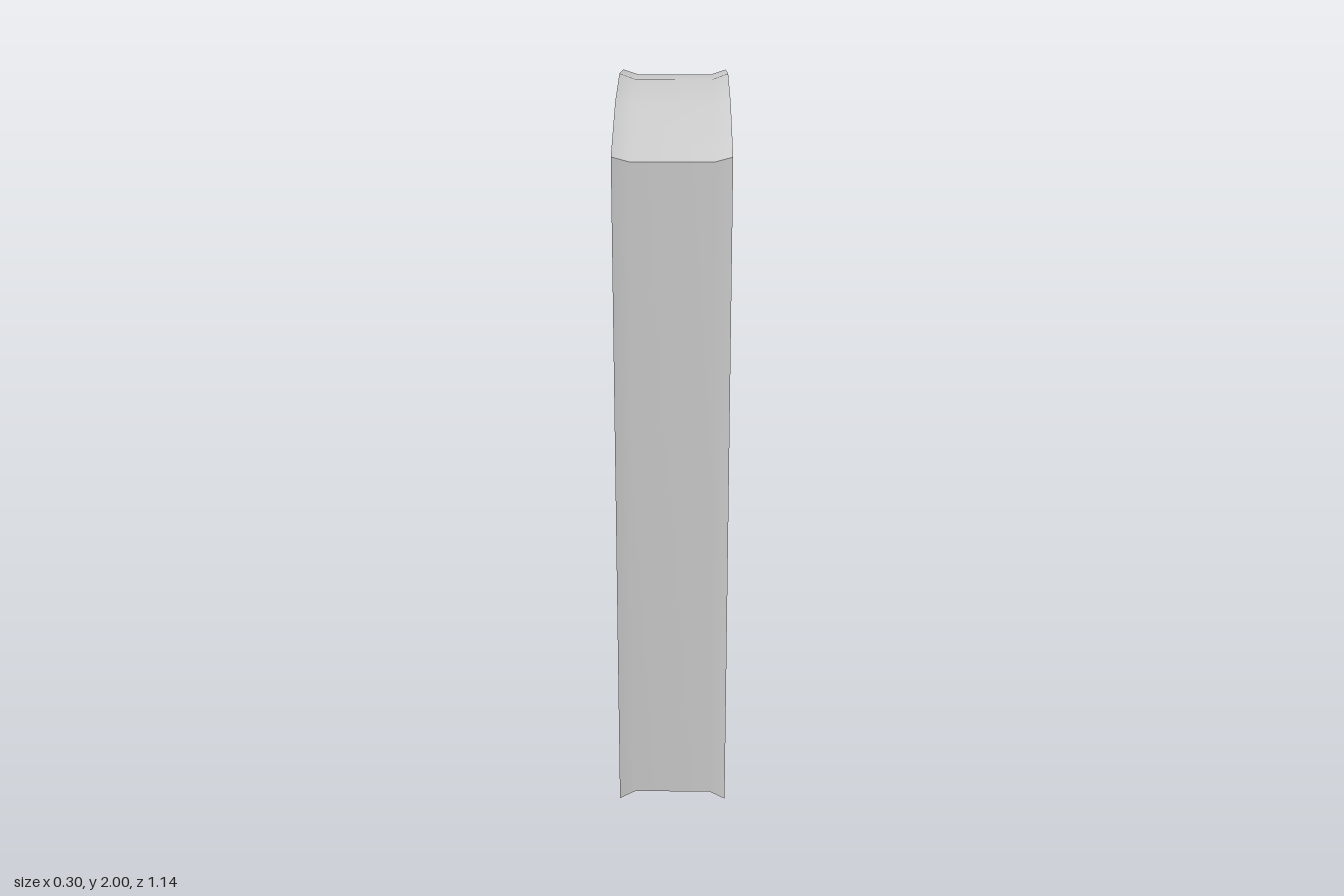
import * as THREE from 'three';

// Shallow channel section: [x, 0 = outer rim, 1 = recessed web]
const SECTION = [[-0.152, 0], [-0.108, 1], [0.108, 1], [0.152, 0]];

// Corner stations around the loop: rim [z, y] and recessed web [z, y]
const frontBottom = { rim: [0.568, 0], web: [0.559, 0.018] };
const frontTop = { rim: [0.568, 1.88], web: [0.559, 1.866] };
const frontHaunch = { rim: [0.285, 1.969], web: [0.281, 1.955] };
const crown = { rim: [0, 2], web: [0, 1.984] };
const mirror = ({ rim, web }) => ({ rim: [-rim[0], rim[1]], web: [-web[0], web[1]] });
const backHaunch = mirror(frontHaunch);
const backTop = mirror(frontTop);
const backBottom = mirror(frontBottom);

const material = new THREE.MeshStandardMaterial({ color: 0xcccccc, side: THREE.DoubleSide });

// Thin channel swept through a run of stations
function channel(name, stations) {
  const positions = [];
  const index = [];
  const n = SECTION.length;
  stations.forEach((station, r) => {
    SECTION.forEach(([x, recessed], c) => {
      const [z, y] = recessed ? station.web : station.rim;
      positions.push(x, y, z);
      if (r + 1 < stations.length && c + 1 < n) {
        const a = r * n + c;
        index.push(a, a + 1, a + n, a + 1, a + n + 1, a + n);
      }
    });
  });
  const geometry = new THREE.BufferGeometry();
  geometry.setAttribute('position', new THREE.Float32BufferAttribute(positions, 3));
  geometry.setIndex(index);
  geometry.computeVertexNormals();
  const mesh = new THREE.Mesh(geometry, material);
  mesh.name = name;
  return mesh;
}

export function createModel() {
  const frame = new THREE.Group();
  frame.name = 'archedFrame';
  frame.add(
    channel('frontJamb', [frontBottom, frontTop]),
    channel('archedHead', [frontTop, frontHaunch, crown, backHaunch, backTop]),
    channel('backJamb', [backTop, backBottom]),
    channel('sill', [backBottom, frontBottom]),
  );
  return frame;
}
